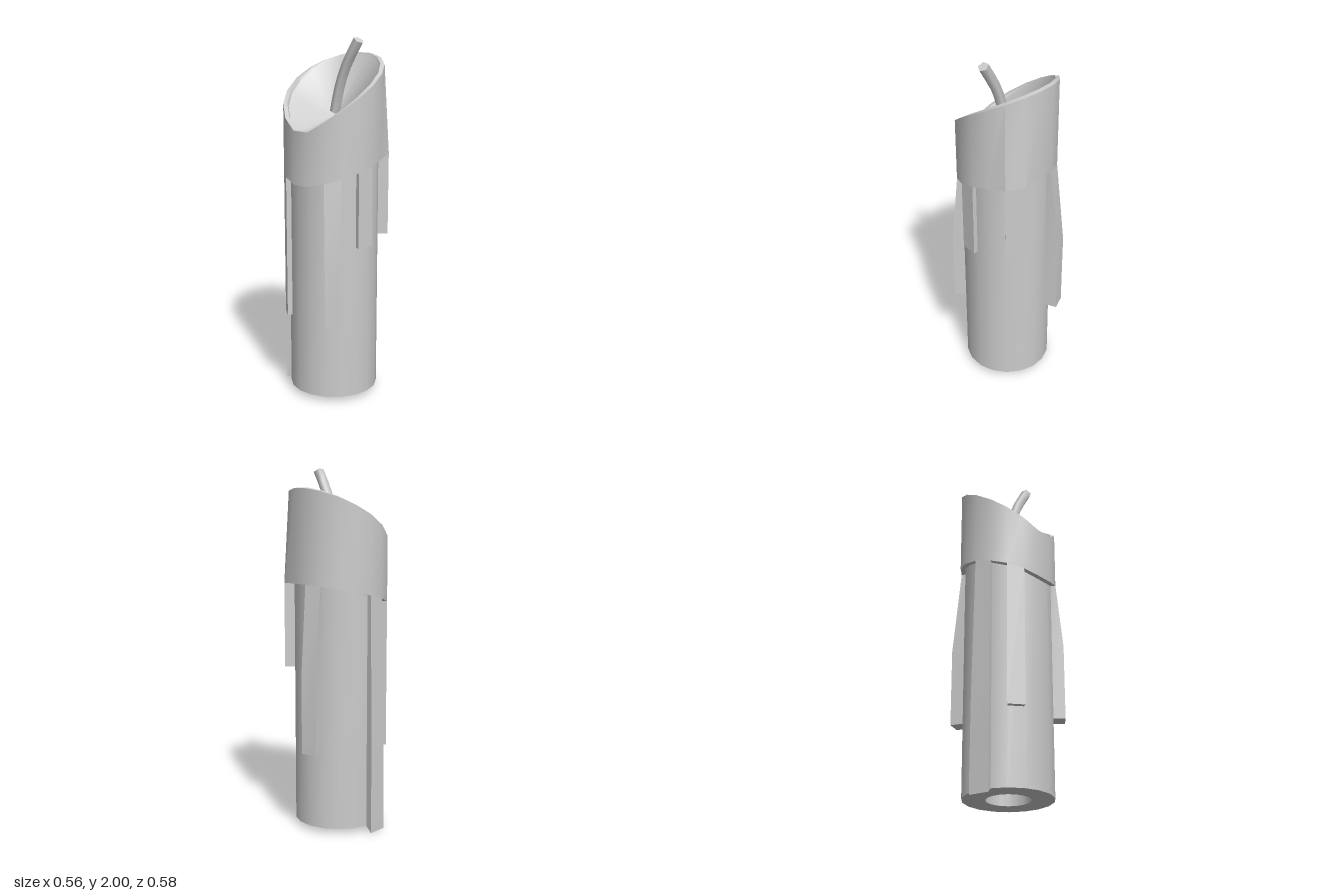
import * as THREE from 'three';
import { toCreasedNormals } from 'three/addons/utils/BufferGeometryUtils.js';

const SIDES = 18, CX = 0.0075, CZ = 0.023;
const R_BODY = 0.245, R_COLLAR = 0.273, R_RIM = 0.25, R_HOLE = 0.12;
const rad = THREE.MathUtils.degToRad;

// Skin a list of closed rings of Vector3 (counted from the bottom up)
function loft(rings, crease) {
  const n = rings[0].length, index = [];
  for (let i = 0; i < rings.length - 1; i++) {
    for (let j = 0; j < n; j++) {
      const a = i * n + j, b = i * n + (j + 1) % n, c = a + n, d = b + n;
      index.push(a, c, b, b, c, d);
    }
  }
  const geo = new THREE.BufferGeometry().setFromPoints(rings.flat());
  geo.setIndex(index);
  return toCreasedNormals(geo, crease);
}

const polar = (deg, r, y) =>
  new THREE.Vector3(CX + r * Math.cos(rad(deg)), y, CZ + r * Math.sin(rad(deg)));

// Slanted heights: 0 at the front, 1 at the back
const slant = (deg) => Math.pow((1 - Math.sin(rad(deg))) / 2, 0.62);
const collarBottom = (deg) => 1.22 + 0.165 * slant(deg);
const rimTop = (deg) => 1.5 + 0.395 * slant(deg);

// A ring whose radius and height depend on the angle
function ring(radius, height) {
  const value = (f, deg) => (typeof f === 'function' ? f(deg) : f);
  return Array.from({ length: SIDES }, (_, j) => {
    const deg = j * 360 / SIDES;
    return polar(deg, value(radius, deg), value(height, deg));
  });
}

// A run of wax on the facet starting at angle deg.
// rows: [y, depth, width, extra drop of the outer edge], bottom up
function dripGeometry(deg, rows, topDepth, topWidth) {
  const mid = rad(deg + 10);
  const n = new THREE.Vector3(Math.cos(mid), 0, Math.sin(mid));
  const t = new THREE.Vector3(-n.z, 0, n.x);
  const outer = (depth, width, side, y) => new THREE.Vector3(CX, y, CZ)
    .addScaledVector(n, R_BODY * Math.cos(rad(10)) + depth)
    .addScaledVector(t, side * width / 2);
  const section = (y0, y1, depth, width, drop = 0) => [
    polar(deg, R_BODY, y0), outer(depth, width, -1, y0 - drop),
    outer(depth, width, 1, y1 - drop), polar(deg + 20, R_BODY, y1),
  ];
  const rings = rows.map(([y, depth, width, drop]) => section(y, y, depth, width, drop));
  rings.push(section(collarBottom(deg), collarBottom(deg + 20), topDepth, topWidth));
  // Close the lower end
  const centre = rings[0].reduce((s, p) => s.add(p), new THREE.Vector3()).multiplyScalar(0.25);
  rings.unshift(rings[0].map(() => centre.clone()));
  return loft(rings, 0.3);
}

export function createModel() {
  const group = new THREE.Group();
  const material = new THREE.MeshStandardMaterial({ color: 0xcccccc });
  const add = (name, geometry) => {
    const mesh = new THREE.Mesh(geometry, material);
    mesh.name = name;
    group.add(mesh);
  };

  // Shaft with a socket in its base
  add('candleShaft', loft([
    ring(0, 0.4), ring(R_HOLE, 0.4), ring(R_HOLE, 0.03),
    ring(R_BODY, 0.03), ring(R_BODY, collarBottom),
  ], 0.6));

  // Melted collar, bulging over one drip, with slanted rim
  const bulge = (deg) => (deg === 300 || deg === 320 ? 0.302 : R_COLLAR);
  add('meltedCollar', loft([
    ring(R_BODY, collarBottom), ring(bulge, collarBottom),
    ring(R_COLLAR, rimTop), ring(R_RIM, (d) => rimTop(d) + 0.003),
  ], 0.6));

  // Hollow around the wick
  add('waxBowl', loft([
    ring(R_RIM, (d) => rimTop(d) + 0.003),
    ring(0.243, (d) => rimTop(d) - 0.015),
    ring(0, 1.57),
  ], 0.6));

  // Wax drips
  const flush = 0.0275, facet = 0.095;
  const drips = [
    ['frontLeftDrip', 40, [[0.46, 0.064, 0.087], [0.88, 0.064, 0.087]], flush, facet],
    ['frontRightDrip', 120, [[0.46, flush, facet]], flush, facet],
    ['longRightDrip', 160, [[0.03, 0.045, 0.113, 0.03], [0.5, 0.043, 0.11]], flush, facet],
    ['shortLeftDrip', 0, [[0.89, flush, facet]], flush, facet],
    ['backLeftDrip', 300, [[0.91, 0.056, 0.1]], 0.056, 0.105],
    ['backDrip', 240, [[0.465, 0.078, 0.087], [0.9, 0.078, 0.087]], flush, facet],
  ];
  for (const [name, deg, rows, depth, width] of drips) {
    add(name, dripGeometry(deg, rows, depth, width));
  }

  // Bent five-sided wick
  const path = new THREE.CatmullRomCurve3([
    [0.02, 1.595], [0.05, 1.72], [0.1, 1.85], [0.181, 1.985],
  ].map(([x, y]) => new THREE.Vector3(x, y, CZ)));
  const wickRing = (u, r) => {
    const p = path.getPoint(u), t = path.getTangent(u);
    return Array.from({ length: 5 }, (_, j) => {
      const a = j * Math.PI * 2 / 5, c = r * Math.cos(a);
      return new THREE.Vector3(p.x + t.y * c, p.y - t.x * c, p.z + r * Math.sin(a));
    });
  };
  const wick = [wickRing(0, 0)];
  for (let i = 0; i <= 6; i++) wick.push(wickRing(i / 6, 0.03));
  wick.push(wickRing(1, 0));
  add('wick', loft(wick, 1.3));

  return group;
}
